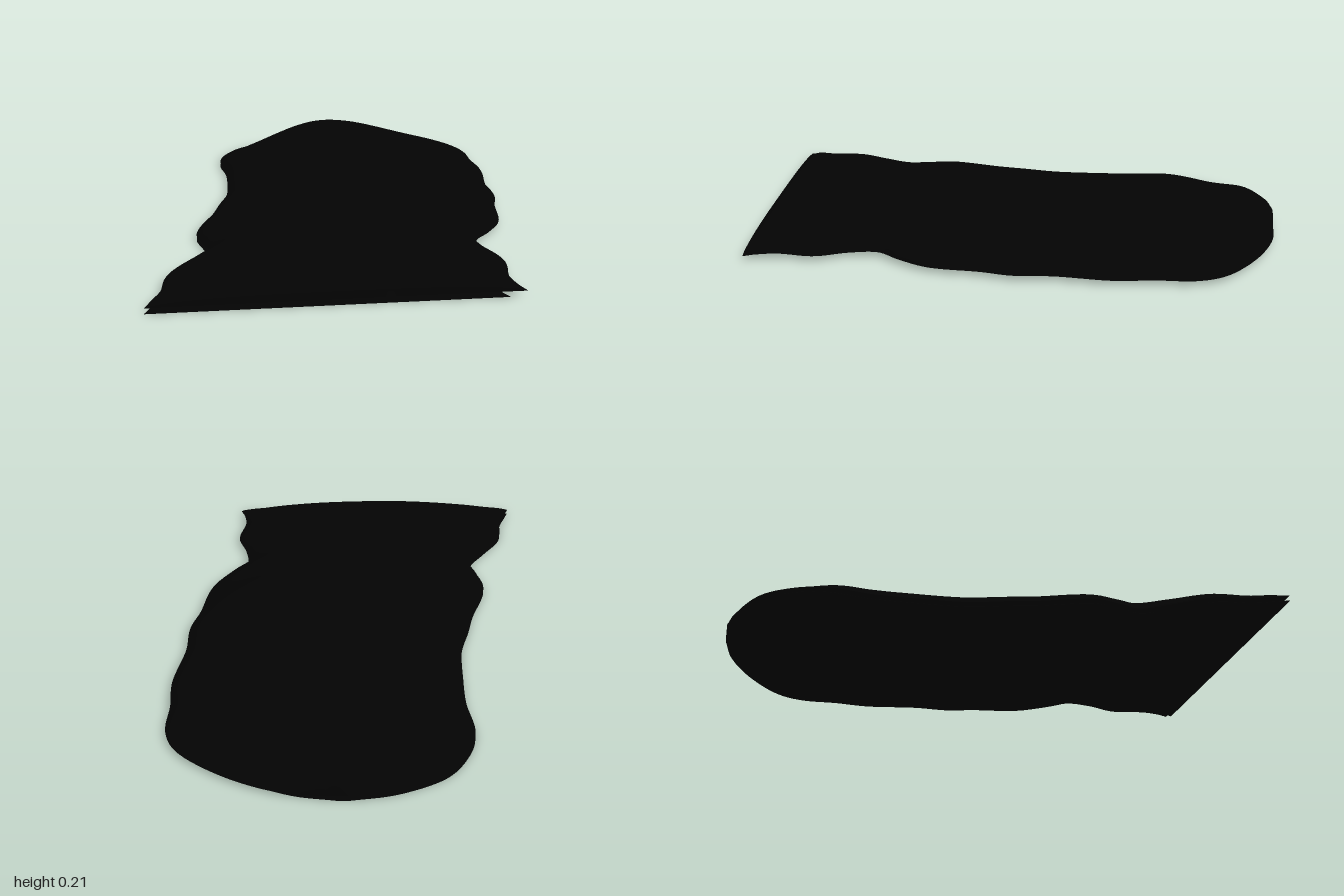
import * as THREE from 'three';

const BASE = 0.02, ROWS = 110, COLS = 56;
const { smoothstep, clamp } = THREE.MathUtils;

// Stations from head to foot: z, left edge, right edge, dome height, ridge x, ridge height
const STATIONS = [
  [-1.00, 0.04, 0.14, 0.05, 0.10, 0.00],
  [-0.97, -0.13, 0.31, 0.085, 0.12, 0.00],
  [-0.89, -0.30, 0.49, 0.12, 0.14, 0.00],
  [-0.77, -0.39, 0.65, 0.104, 0.15, 0.00],
  [-0.65, -0.42, 0.71, 0.10, 0.15, 0.00],
  [-0.50, -0.40, 0.71, 0.10, 0.16, 0.00],
  [-0.35, -0.40, 0.72, 0.10, 0.18, 0.01],
  [-0.15, -0.41, 0.69, 0.10, 0.20, 0.025],
  [0.00, -0.45, 0.69, 0.10, 0.22, 0.065],
  [0.12, -0.48, 0.66, 0.10, 0.22, 0.09],
  [0.30, -0.54, 0.63, 0.10, 0.12, 0.05],
  [0.42, -0.52, 0.56, 0.10, 0.03, 0.033],
  [0.51, -0.50, 0.49, 0.10, -0.04, 0.028],
  [0.62, -0.57, 0.50, 0.095, -0.11, 0.027],
  [0.74, -0.65, 0.54, 0.09, -0.16, 0.027],
  [0.87, -0.67, 0.52, 0.08, -0.17, 0.02],
  [0.95, -0.70, 0.53, 0.07, -0.14, 0.01],
  [1.00, -0.72, 0.55, 0.03, -0.10, 0.00],
];

const curve = (a, b, c) => new THREE.CatmullRomCurve3(
  STATIONS.map((s) => new THREE.Vector3(s[a], s[b], s[c])), false, 'catmullrom');
const outline = curve(0, 1, 2), heights = curve(3, 4, 5);

// One cross-section of the draped cover, from left edge to right edge
function crossSection(t) {
  const { x: z0, y: xl, z: xr } = outline.getPoint(t);
  const { x: dome, y: ridgeX, z: ridge } = heights.getPoint(t);
  const z = clamp(z0, -1, 1);
  // The sides slope more gently towards the head, most of all on one side
  const slope = smoothstep(-z, 0.55, 0.95);
  const points = [];
  for (let j = 0; j <= COLS; j++) {
    const u = Math.sin((j / COLS - 0.5) * Math.PI);
    const x = (xl + xr) / 2 + (u * (xr - xl)) / 2;
    const power = 0.6 + slope * (u < 0 ? 1.0 : 0.5);
    const fall = Math.pow(Math.max(0, 1 - Math.abs(u) ** (3 - slope)), power);
    const spread = x > ridgeX ? 0.28 : 0.18;
    let y = fall * (dome + ridge * Math.exp(-(((x - ridgeX) / spread) ** 2) / 2));
    // Curved step below the head, rising again gently towards the foot
    const d = Math.abs(x - 0.16);
    const dz = z + 0.46 - 2 * Math.max(0, d - 0.15) ** 2;
    const fade = 1 - smoothstep(d, 0.25, 0.36);
    y -= 0.01 * fade * smoothstep(dz, -0.025, 0.03) * (1 - smoothstep(dz, 0.03, 0.25));
    points.push(new THREE.Vector3(x, BASE + y, z));
  }
  return points;
}

// Smooth skin through the cross-sections
function skin(sections) {
  const index = [], n = COLS + 1;
  for (let i = 0; i < ROWS; i++) {
    for (let j = 0; j < COLS; j++) {
      const a = i * n + j, b = a + n;
      index.push(a, b, a + 1, a + 1, b, b + 1);
    }
  }
  const geometry = new THREE.BufferGeometry().setFromPoints(sections.flat());
  geometry.setIndex(index);
  geometry.computeVertexNormals();
  return geometry;
}

const flat = (points) => new THREE.ShapeGeometry(new THREE.Shape(points));

// Plan outline of the cover, with one side drawn in by an inset
function plan(sections, inset) {
  const left = sections.map((s) => new THREE.Vector2(s[0].x, s[0].z));
  const right = sections.map((s) => new THREE.Vector2(s[COLS].x - inset, s[COLS].z));
  return [...left, ...right.reverse()];
}

export function createModel() {
  const group = new THREE.Group();
  const black = new THREE.MeshStandardMaterial({ color: 0x030303 });
  black.name = 'black cloth';
  const add = (name, geometry) => {
    const mesh = new THREE.Mesh(geometry, black);
    mesh.name = name;
    group.add(mesh);
    return mesh;
  };

  const sections = Array.from({ length: ROWS + 1 }, (_, i) => crossSection(i / ROWS));
  const head = sections[0], foot = sections[ROWS];
  add('drapedCover', skin(sections));
  add('underside', flat(plan(sections, 0)).rotateX(Math.PI / 2)).position.y = BASE;

  // Thin ground sheet just below the cover, a little narrower on one side
  const sheet = new THREE.Shape(plan(sections, 0.06));
  add('groundSheet', new THREE.ExtrudeGeometry(sheet, { depth: 0.001, bevelEnabled: false })
    .rotateX(Math.PI / 2)).position.y = 0.001;

  // Foot hem with a small notch in its lower edge
  const notch = [[0.105, 0], [0.095, 0.02], [0.075, 0.02], [0.07, 0]]
    .map(([x, y]) => new THREE.Vector2(x, BASE + y));
  add('footHem', flat([...notch, ...foot.map((p) => new THREE.Vector2(p.x, p.y))]))
    .position.z = 1;

  // Narrow wall closing the head end
  add('headHem', flat(head.map((p) => new THREE.Vector2(-p.x, p.y)))
    .rotateY(Math.PI)).position.z = -1;

  return group;
}
